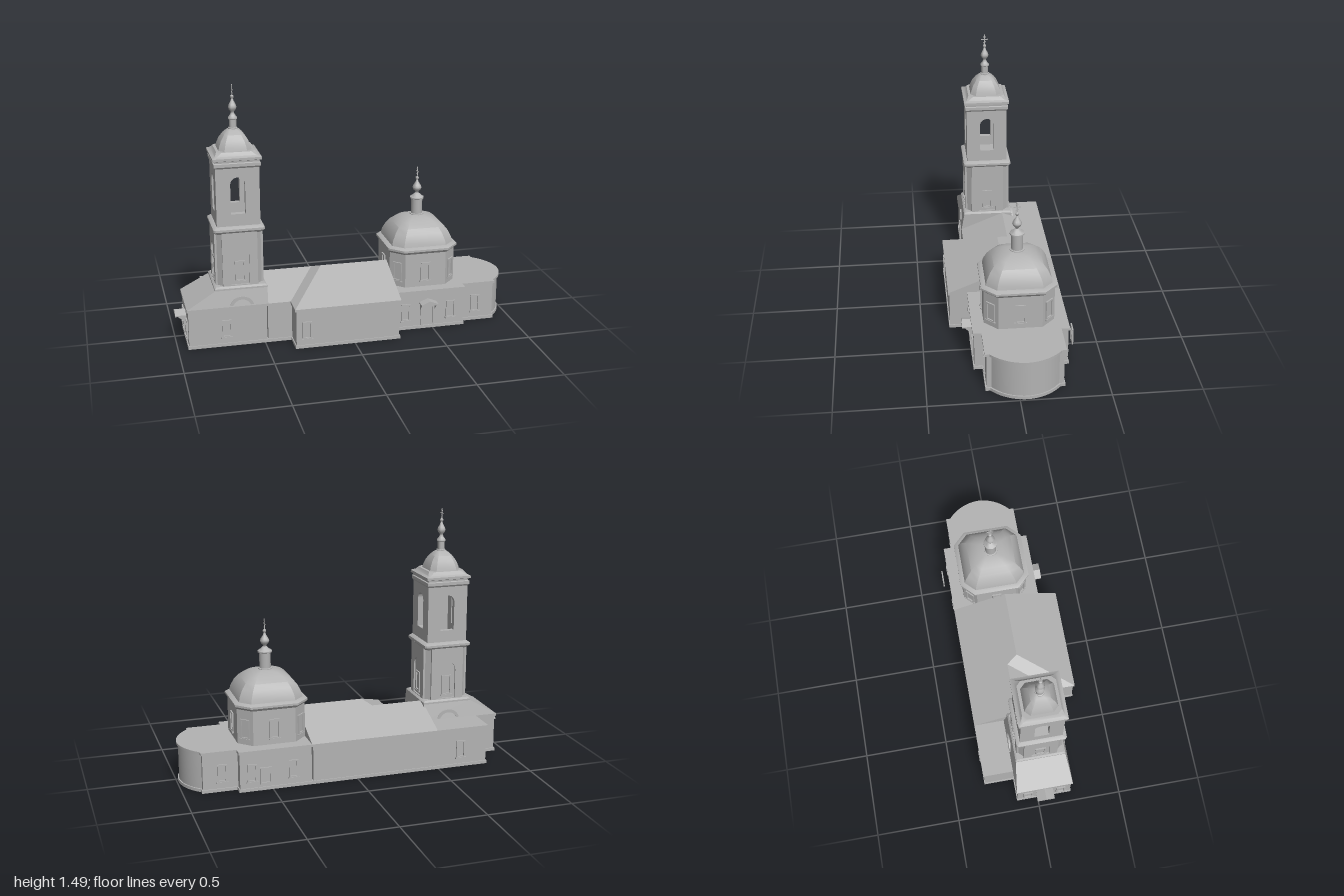
import * as THREE from 'three';
import { toCreasedNormals } from 'three/addons/utils/BufferGeometryUtils.js';

const stone = new THREE.MeshStandardMaterial({ color: 0xb3b3b3, side: THREE.DoubleSide });
stone.name = 'pale grey stone';

function add(parent, name, geo, x = 0, y = 0, z = 0, ry = 0) {
  const m = new THREE.Mesh(geo, stone);
  m.name = name;
  m.position.set(x, y, z);
  m.rotation.y = ry;
  parent.add(m);
  return m;
}

function group(parent, name, x = 0, y = 0, z = 0, ry = 0) {
  const g = new THREE.Group();
  g.name = name;
  g.position.set(x, y, z);
  g.rotation.y = ry;
  parent.add(g);
  return g;
}

// Box given by its limits
function box(parent, name, x0, x1, y0, y1, z0, z1) {
  return add(parent, name, new THREE.BoxGeometry(x1 - x0, y1 - y0, z1 - z0),
    (x0 + x1) / 2, (y0 + y1) / 2, (z0 + z1) / 2);
}

// Flat polygons, each a list of [x, y, z] corners, as fans
function faces(polys) {
  const pos = [];
  for (const p of polys)
    for (let i = 1; i < p.length - 1; i++) pos.push(...p[0], ...p[i], ...p[i + 1]);
  const g = new THREE.BufferGeometry();
  g.setAttribute('position', new THREE.Float32BufferAttribute(pos, 3));
  g.computeVertexNormals();
  return g;
}

// Stack of chamfered squares: sections are [y, half width, chamfer]
function loft(sections) {
  const rings = sections.map(([y, h, c]) => {
    const a = h - c;
    return [[h, a], [a, h], [-a, h], [-h, a], [-h, -a], [-a, -h], [a, -h], [h, -a]].map(([x, z]) => [x, y, z]);
  });
  const polys = [];
  for (let i = 0; i < rings.length - 1; i++)
    for (let k = 0; k < 8; k++) {
      const n = (k + 1) % 8;
      polys.push([rings[i][k], rings[i + 1][k], rings[i + 1][n], rings[i][n]]);
    }
  polys.push([...rings[rings.length - 1]].reverse(), rings[0]);
  return toCreasedNormals(faces(polys), 0.6);
}

// Rectangle or round-headed outline, bottom centre at (0, y)
function outline(path, w, y, h, arched) {
  const r = w / 2;
  path.moveTo(-r, y);
  path.lineTo(r, y);
  if (arched) {
    path.lineTo(r, y + h - r);
    path.absarc(0, y + h - r, r, 0, Math.PI, false);
  } else {
    path.lineTo(r, y + h);
    path.lineTo(-r, y + h);
  }
  path.closePath();
  return path;
}

function extrude(shape, depth) {
  return new THREE.ExtrudeGeometry(shape, { depth, bevelEnabled: false, curveSegments: 10 });
}

// Raised window surround with a slim sill
function windowFrame(parent, x, y, z, ry = 0, w = 0.055, h = 0.105, arched = false) {
  const g = group(parent, 'window', x, y, z, ry);
  const s = outline(new THREE.Shape(), w, 0, h, arched);
  s.holes.push(outline(new THREE.Path(), w - 0.018, 0.009, h - 0.018, arched));
  add(g, 'windowSurround', extrude(s, 0.008));
  box(g, 'windowSill', -w / 2 - 0.005, w / 2 + 0.005, -0.006, 0.003, 0, 0.011);
}

// Wall block with plinth and cornice
function block(parent, name, x0, x1, z0, z1) {
  const g = group(parent, name), e = 0.008;
  box(g, 'walls', x0 + e, x1 - e, 0, 0.235, z0 + e, z1 - e);
  box(g, 'plinth', x0 + 0.002, x1 - 0.002, 0, 0.018, z0 + 0.002, z1 - 0.002);
  box(g, 'cornice', x0, x1, 0.225, 0.24, z0, z1);
}

// Lantern neck, bulb and cross standing on a dome
function finial(parent, y, r, neck, bulb) {
  const g = group(parent, 'finial', 0, y);
  const n = neck, p = [
    [r * 1.25, -0.012], [r * 1.25, 0.004], [r, 0.006], [r, n - 0.012], [r * 1.25, n - 0.008], [r * 1.25, n],
    [r * 0.75, n + 0.012], [0.009, n + 0.026], [0.011, n + 0.034], [bulb * 0.8, n + 0.044], [bulb, n + 0.058],
    [bulb * 0.8, n + 0.072], [0.01, n + 0.09], [0.005, n + 0.105], [0.01, n + 0.112], [0.01, n + 0.12], [0, n + 0.128]];
  const geo = new THREE.LatheGeometry(p.map(([a, b]) => new THREE.Vector2(a, b)), 16);
  add(g, 'neckAndBulb', toCreasedNormals(geo, 0.8));
  const c = n + 0.12;
  box(g, 'crossUpright', -0.002, 0.002, c, c + 0.065, -0.003, 0.003);
  box(g, 'crossTopBar', -0.002, 0.002, c + 0.05, c + 0.054, -0.009, 0.009);
  box(g, 'crossMainBar', -0.002, 0.002, c + 0.034, c + 0.039, -0.02, 0.02);
  box(g, 'crossFootBar', -0.002, 0.002, c + 0.016, c + 0.02, -0.01, 0.01).rotation.x = 0.4;
}

// Door surround with a small gabled canopy on brackets
function porch(parent, x, z, ry, out) {
  const g = group(parent, 'porch', x, 0, z, ry);
  const s = outline(new THREE.Shape(), 0.085, 0.018, 0.14);
  s.holes.push(outline(new THREE.Path(), 0.06, 0.018, 0.125));
  add(g, 'doorSurround', extrude(s, 0.008));
  const roof = new THREE.Shape([[-0.052, 0.158], [0.052, 0.158], [0.052, 0.165], [0, 0.186], [-0.052, 0.165]]
    .map(([a, b]) => new THREE.Vector2(a, b)));
  add(g, 'canopy', extrude(roof, out));
  for (const sx of [-0.045, 0.045])
    add(g, 'bracket', faces([[[sx, 0.158, 0], [sx, 0.158, out * 0.8], [sx, 0.115, 0]]]));
}

function bellTower(parent) {
  const t = group(parent, 'bellTower', -0.63, 0, 0.042);
  add(t, 'towerFoot', loft([[0.3, 0.15, 0.002], [0.345, 0.15, 0.002], [0.355, 0.14, 0.002]]));
  add(t, 'lowerTier', loft([[0.34, 0.128, 0.03], [0.68, 0.128, 0.03]]));
  add(t, 'middleCornice', loft([[0.665, 0.134, 0.015], [0.68, 0.145, 0.01], [0.693, 0.145, 0.01], [0.706, 0.125, 0.002]]));
  for (let i = 0; i < 4; i++) {
    const side = group(t, 'towerSide', 0, 0, 0, i * Math.PI / 2);
    // Lower bay with a round-headed niche
    const bay = outline(new THREE.Shape(), 0.2, 0.345, 0.325);
    bay.holes.push(outline(new THREE.Path(), 0.105, 0.36, 0.225, true));
    add(side, 'lowerBay', extrude(bay, 0.018), 0, 0, 0.12);
    windowFrame(side, 0, 0.38, 0.128, 0, 0.06, 0.12);
    // Open belfry wall
    const wall = outline(new THREE.Shape(), 0.246, 0.7, 0.355);
    wall.holes.push(outline(new THREE.Path(), 0.083, 0.775, 0.212, true));
    add(side, 'belfryWall', extrude(wall, 0.03), 0, 0, 0.093);
  }
  box(t, 'belfryFloor', -0.12, 0.12, 0.7, 0.715, -0.12, 0.12);
  add(t, 'upperCornice', loft([[1.04, 0.124, 0.002], [1.05, 0.131, 0.002], [1.068, 0.131, 0.002], [1.072, 0.125, 0.002],
    [1.082, 0.126, 0.002], [1.086, 0.137, 0.002], [1.1, 0.137, 0.002], [1.108, 0.12, 0.01], [1.128, 0.108, 0.025]]));
  add(t, 'towerDome', loft([[1.125, 0.093, 0.03], [1.15, 0.087, 0.028], [1.18, 0.075, 0.024],
    [1.21, 0.055, 0.018], [1.228, 0.037, 0.012], [1.24, 0.018, 0.006]]));
  finial(t, 1.238, 0.021, 0.062, 0.024);
}

function domedDrum(parent) {
  const d = group(parent, 'domedDrum', 0.47, 0, -0.037);
  add(d, 'drum', loft([[0.23, 0.198, 0.075], [0.46, 0.198, 0.075]]));
  add(d, 'drumCornice', loft([[0.445, 0.2, 0.075], [0.46, 0.211, 0.075], [0.472, 0.211, 0.075], [0.482, 0.19, 0.06]]));
  add(d, 'dome', loft([[0.475, 0.186, 0.058], [0.51, 0.179, 0.056], [0.55, 0.16, 0.05], [0.58, 0.137, 0.043],
    [0.605, 0.106, 0.033], [0.62, 0.075, 0.023], [0.63, 0.04, 0.012]]));
  for (let i = 0; i < 8; i++) {
    const a = i * Math.PI / 4, r = i % 2 ? (0.198 * 2 - 0.075) / Math.SQRT2 : 0.198;
    windowFrame(d, Math.sin(a) * r, 0.275, Math.cos(a) * r, a, 0.058, 0.115);
  }
  finial(d, 0.63, 0.033, 0.105, 0.027);
}

export function createModel() {
  const church = new THREE.Group();
  church.name = 'church';

  // Walls, west to east
  block(church, 'westBlock', -0.945, -0.48, -0.13, 0.21);
  block(church, 'backWing', -0.81, -0.47, -0.31, -0.1);
  block(church, 'naveWest', -0.49, -0.3, -0.31, 0.21);
  block(church, 'nave', -0.35, 0.272, -0.31, 0.34);
  block(church, 'crossing', 0.265, 0.697, -0.31, 0.23);

  // Apse with bowed east wall
  const apse = (e) => {
    const s = new THREE.Shape();
    s.moveTo(0.68, -0.182 + e);
    s.lineTo(0.9 - e, -0.182 + e);
    s.lineTo(0.9 - e, -0.155 + e);
    s.quadraticCurveTo(0.99 - e, -0.075, 0.995 - e, 0.04);
    s.quadraticCurveTo(0.99 - e, 0.155, 0.9 - e, 0.235 - e);
    s.lineTo(0.9 - e, 0.262 - e);
    s.lineTo(0.68, 0.262 - e);
    return s;
  };
  const layer = (name, e, y, h) =>
    add(church, name, toCreasedNormals(extrude(apse(e), h).rotateX(-Math.PI / 2), 0.5), 0, y, 0);
  layer('apseWall', 0.01, 0, 0.235);
  layer('apsePlinth', 0.003, 0, 0.018);
  layer('apseCornice', 0, 0.225, 0.015);

  // Nave roofs: low west gable and taller hipped east part
  const y = 0.24;
  add(church, 'lowNaveRoof', faces([
    [[-0.49, y, 0.21], [0, y, 0.21], [0, 0.344, -0.05], [-0.49, 0.344, -0.05]],
    [[0, y, -0.31], [-0.49, y, -0.31], [-0.49, 0.344, -0.05], [0, 0.344, -0.05]],
    [[-0.49, y, -0.31], [-0.49, y, 0.21], [-0.49, 0.344, -0.05]]]));
  add(church, 'highNaveRoof', faces([
    [[-0.35, y, 0.34], [0.272, y, 0.34], [0.272, 0.37, 0.015], [-0.13, 0.37, 0.015]],
    [[0.272, y, -0.31], [-0.35, y, -0.31], [-0.13, 0.37, 0.015], [0.272, 0.37, 0.015]],
    [[-0.35, y, -0.31], [-0.35, y, 0.34], [-0.13, 0.37, 0.015]],
    [[0.272, y, 0.34], [0.272, y, -0.31], [0.272, 0.37, 0.015]]]));

  // Sloping roof around the tower foot
  const lo = [[-0.945, 0.21], [-0.48, 0.21], [-0.48, -0.13], [-0.945, -0.13]].map(([a, b]) => [a, y, b]);
  const hi = [[-0.78, 0.192], [-0.48, 0.192], [-0.48, -0.108], [-0.78, -0.108]].map(([a, b]) => [a, 0.335, b]);
  add(church, 'westRoof', faces(lo.map((p, i) => [p, lo[(i + 1) % 4], hi[(i + 1) % 4], hi[i]])));

  // Half-round gables over the west block
  for (const [z, ry] of [[0.195, 0], [-0.115, Math.PI]]) {
    const s = new THREE.Shape();
    s.absarc(0, 0, 0.072, 0, Math.PI, false);
    s.absarc(0, 0, 0.054, Math.PI, 0, true);
    add(church, 'roundGable', extrude(s, 0.014), -0.63, 0.225, z, ry);
  }

  bellTower(church);
  domedDrum(church);

  // Windows
  for (const [x, z] of [[-0.72, 0.202], [-0.28, 0.332], [0.335, 0.222], [0.61, 0.222], [0.78, 0.172]])
    windowFrame(church, x, 0.055, z);
  for (const [x, z] of [[-0.64, -0.302], [0.38, -0.302], [0.62, -0.302], [0.78, -0.252]])
    windowFrame(church, x, 0.055, z, Math.PI);
  for (const z of [-0.06, 0.14]) windowFrame(church, -0.937, 0.055, z, -Math.PI / 2);

  // Entrances and the detached panel behind the crossing
  porch(church, 0.468, 0.222, 0, 0.055);
  porch(church, -0.937, 0.04, -Math.PI / 2, 0.063);
  const panel = outline(new THREE.Shape(), 0.068, 0, 0.1);
  panel.holes.push(outline(new THREE.Path(), 0.045, 0.012, 0.076));
  add(church, 'detachedPanel', extrude(panel, 0.008), 0.55, 0.05, -0.349);

  return church;
}
